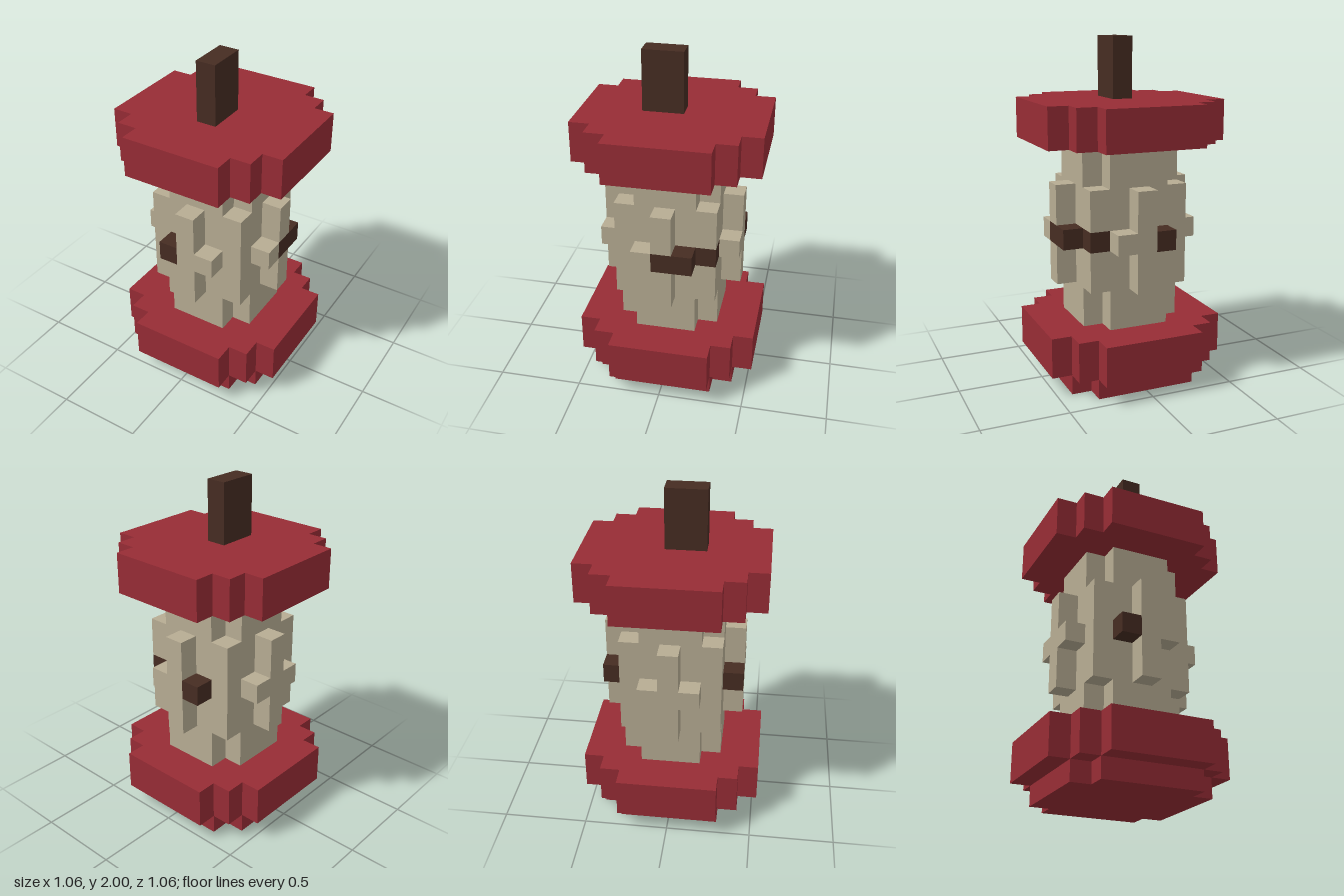
import * as THREE from 'three';

const U = 2 / 17; // one block; the model is 17 blocks tall

const mat = (name, color) => {
  const m = new THREE.MeshStandardMaterial({ color });
  m.name = name;
  return m;
};

// Full symmetric outline from the stepped corner in the +x +z quarter
function stepped(corner) {
  const rev = [...corner].reverse();
  return [
    ...corner,
    ...rev.map(([x, z]) => [-x, z]),
    ...corner.map(([x, z]) => [-x, -z]),
    ...rev.map(([x, z]) => [x, -z]),
  ];
}

// Upright slab with an [x, z] outline, in blocks
function slab(name, material, outline, y0, y1) {
  const shape = new THREE.Shape(outline.map(([x, z]) => new THREE.Vector2(x * U, -z * U)));
  const geo = new THREE.ExtrudeGeometry(shape, { depth: (y1 - y0) * U, bevelEnabled: false });
  geo.rotateX(-Math.PI / 2).translate(0, y0 * U, 0);
  const mesh = new THREE.Mesh(geo, material);
  mesh.name = name;
  return mesh;
}

// Box from its lower and upper bounds, in blocks
function box(name, material, [x0, x1], [y0, y1], [z0, z1]) {
  const geo = new THREE.BoxGeometry((x1 - x0) * U, (y1 - y0) * U, (z1 - z0) * U);
  const mesh = new THREE.Mesh(geo, material);
  mesh.position.set((x0 + x1) / 2 * U, (y0 + y1) / 2 * U, (z0 + z1) / 2 * U);
  mesh.name = name;
  return mesh;
}

export function createModel() {
  const skin = mat('red skin', 0x972c35);
  const flesh = mat('cream flesh', 0xb7ac93);
  const brown = mat('dark brown', 0x462c22);
  const apple = new THREE.Group();
  apple.name = 'appleCore';

  // Skin caps
  const capOutline = stepped([[4.5, 2.5], [3.5, 2.5], [3.5, 3.5], [2.5, 3.5], [2.5, 4.5]]);
  const baseOutline = stepped([[3.5, 2.5], [2.5, 2.5], [2.5, 3.5]]);
  apple.add(
    slab('base', skin, baseOutline, 0, 1),
    slab('bottomCap', skin, capOutline, 1, 3),
    slab('topCap', skin, capOutline, 12, 14),
  );

  // Flesh: notched ends, square middle, one corner opened for a seed
  const endOutline = stepped([[2.5, 1.5], [1.5, 1.5], [1.5, 2.5]]);
  const openOutline = [[2.5, 2.5], [-2.5, 2.5], [-2.5, -2.5], [1.5, -2.5], [1.5, -1.5], [2.5, -1.5]];
  const side = [-2.5, 2.5];
  apple.add(
    slab('lowerFlesh', flesh, endOutline, 3, 5),
    box('middleFleshLower', flesh, side, [5, 7], side),
    slab('middleFleshSeedLayer', flesh, openOutline, 7, 8),
    box('middleFleshUpper', flesh, side, [8, 10], side),
    slab('upperFlesh', flesh, endOutline, 10, 12),
    box('cornerSeed', brown, [1.5, 2.5], [7, 8], [-2.5, -1.5]),
  );

  // Raised cross on each side; blocks run from the viewer's left to right
  const sides = [
    ['front', 0, [brown, flesh, flesh]],
    ['left', Math.PI / 2, [flesh, brown, brown]],
    ['back', Math.PI, [flesh, flesh, brown]],
    ['right', -Math.PI / 2, [flesh, flesh, flesh]],
  ];
  for (const [name, angle, blocks] of sides) {
    const cross = new THREE.Group();
    cross.name = name + 'Cross';
    const depth = [2.5, 3.5];
    cross.add(
      box('crossLower', flesh, [-0.5, 0.5], [5, 7], depth),
      box('crossUpper', flesh, [-0.5, 0.5], [8, 10], depth),
    );
    blocks.forEach((m, i) => {
      cross.add(box(m === brown ? 'seed' : 'crossBlock', m, [i - 1.5, i - 0.5], [7, 8], depth));
    });
    cross.rotation.y = angle;
    apple.add(cross);
  }

  // Stem
  apple.add(box('stem', brown, [-0.5, 0.5], [14, 17], [-0.5, 1.5]));
  return apple;
}
